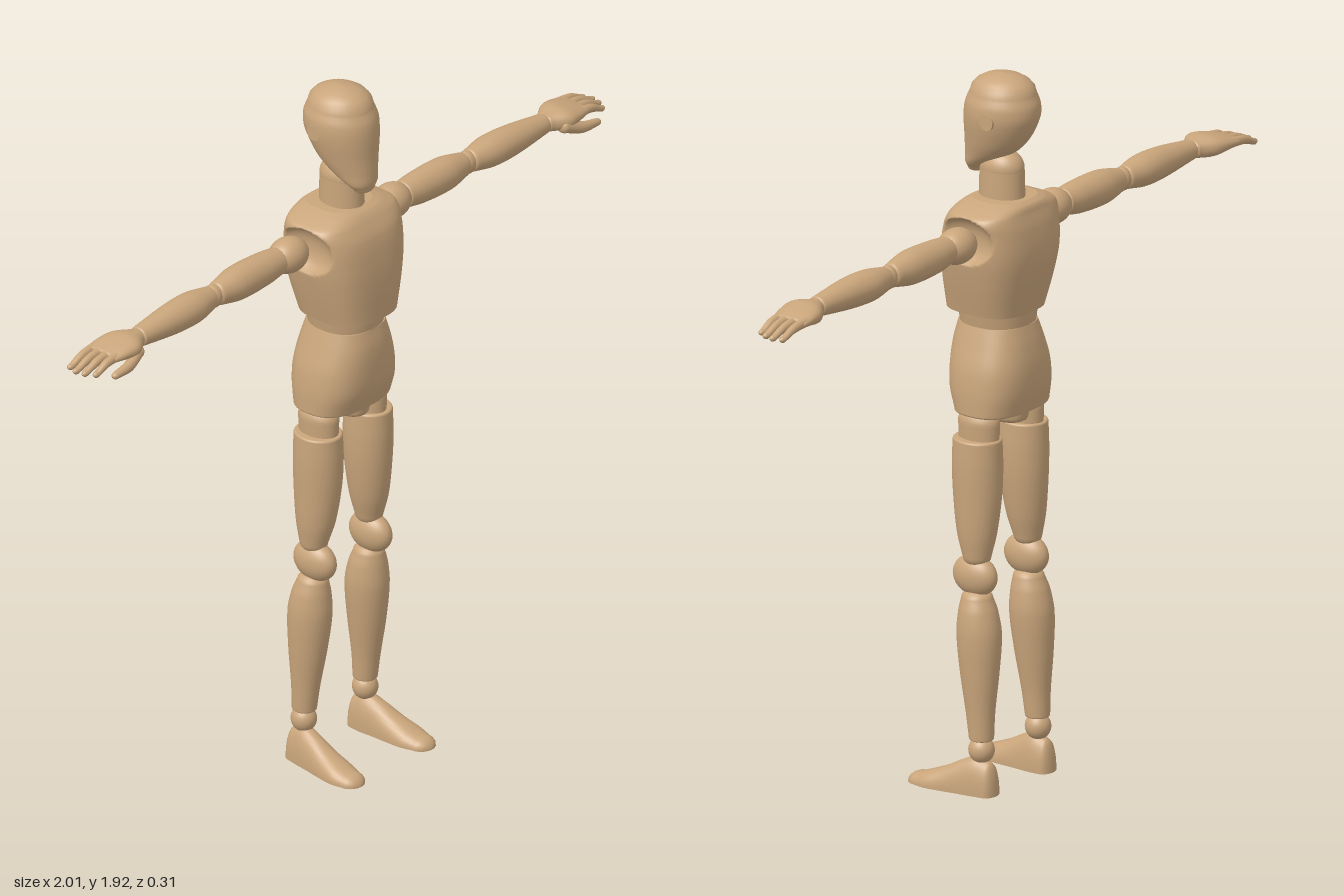
import * as THREE from 'three';

const wood = new THREE.MeshStandardMaterial({ color: 0xc9a57b });
wood.name = 'wood';

// Places (t along the axis, a and b across it) in x, y, z
const FRAMES = {
  x: (t, a, b) => [t, a, b],
  y: (t, a, b) => [a, t, b],
  z: (t, a, b) => [a, b, t],
};

// Smooth solid through sections [t, centreA, centreB, radiusA, radiusB].
// power squares the section; dome0/dome1 round the ends; warp edits points; side mirrors x.
function loft(axis, sections, { power = 2, seg = 32, steps = 6, dome0 = 0, dome1 = 0, warp, side = 1 } = {}) {
  const at = (i, k) => sections[Math.min(Math.max(i, 0), sections.length - 1)][k];
  const rings = [];
  for (let i = 0; i < sections.length - 1; i++) {
    for (let j = i ? 1 : 0; j <= steps; j++) {
      const u = j / steps;
      rings.push([0, 1, 2, 3, 4].map((k) => {
        const p1 = at(i, k), p2 = at(i + 1, k);
        const h = at(i + 1, 0) - at(i, 0);
        const slope = (n) => {
          const d = at(n + 1, 0) - at(n - 1, 0);
          return (at(n + 1, k) - at(n - 1, k)) / d * h;
        };
        const m1 = slope(i), m2 = slope(i + 1);
        return (2 * p1 - 2 * p2 + m1 + m2) * u ** 3 + (3 * p2 - 3 * p1 - 2 * m1 - m2) * u * u + m1 * u + p1;
      }));
    }
  }
  const dome = (r, depth) => [1, 2, 3, 4, 5].map((k) => {
    const q = k / 5 * Math.PI / 2, depthAbs = Math.abs(depth);
    const shrink = depthAbs < 0.012 ? depthAbs * (1 - Math.cos(q)) : 0;
    const f = shrink ? 0 : Math.max(Math.cos(q), 0.02);
    return [r[0] + depth * Math.sin(q), r[1], r[2],
      shrink ? r[3] - shrink : r[3] * f, shrink ? r[4] - shrink : r[4] * f];
  });
  const dir = Math.sign(at(99, 0) - at(0, 0));
  const first = rings[0], last = rings[rings.length - 1];
  if (dome0) rings.unshift(...dome(first, -dir * dome0).reverse());
  if (dome1) rings.push(...dome(last, dir * dome1));

  const pos = [], idx = [];
  const put = (t, a, b) => {
    let p = FRAMES[axis](t, a, b);
    if (warp) p = warp(...p);
    pos.push(p[0] * side, p[1], p[2]);
  };
  const putRing = ([t, a, b, ra, rb]) => {
    for (let s = 0; s < seg; s++) {
      const q = s / seg * Math.PI * 2, c = Math.cos(q), d = Math.sin(q);
      const r = (Math.abs(c) ** power + Math.abs(d) ** power) ** (-1 / power);
      put(t, a + ra * r * c, b + rb * r * d);
    }
  };
  rings.forEach(putRing);
  for (let i = 0; i < rings.length - 1; i++) {
    for (let s = 0; s < seg; s++) {
      const a = i * seg + s, b = i * seg + (s + 1) % seg;
      idx.push(a, a + seg, b, b, a + seg, b + seg);
    }
  }
  // Flat end caps with their own vertices, so the rims stay sharp
  [rings[0], rings[rings.length - 1]].forEach((r, end) => {
    const base = pos.length / 3;
    putRing(r);
    put(r[0], r[1], r[2]);
    for (let s = 0; s < seg; s++) {
      const a = base + s, b = base + (s + 1) % seg;
      idx.push(base + seg, ...(end ? [b, a] : [a, b]));
    }
  });
  // Turn all faces outward
  let volume = 0;
  const v = (i) => new THREE.Vector3().fromArray(pos, i * 3);
  for (let i = 0; i < idx.length; i += 3) volume += v(idx[i]).dot(v(idx[i + 1]).cross(v(idx[i + 2])));
  if (volume < 0) idx.reverse();
  const geo = new THREE.BufferGeometry();
  geo.setAttribute('position', new THREE.Float32BufferAttribute(pos, 3));
  geo.setIndex(idx);
  geo.computeVertexNormals();
  return geo;
}

const ball = (x, y, z, rx, ry, rz) =>
  new THREE.SphereGeometry(1, 32, 20).scale(rx, ry, rz).translate(x, y, z);

// Hollows an oval shoulder socket into each side of the chest
function socket(x, y, z) {
  const k = 1 - ((y - 1.498) / 0.06) ** 2 - ((z + 0.025) / 0.09) ** 2;
  if (k <= 0 || Math.abs(x) < 0.08) return [x, y, z];
  return [Math.sign(x) * Math.min(Math.abs(x), 0.15 - 0.035 * Math.sqrt(k)), y, z];
}

export function createModel() {
  const model = new THREE.Group();
  model.name = 'jointedFigure';
  const add = (name, geo, parent = model) => {
    const mesh = new THREE.Mesh(geo, wood);
    mesh.name = name;
    parent.add(mesh);
  };

  // Head, neck and trunk
  add('head', loft('y', [
    [1.652, 0, 0.045, 0.032, 0.022], [1.67, 0, 0.034, 0.048, 0.038], [1.70, 0, 0.006, 0.062, 0.066],
    [1.74, 0, -0.016, 0.076, 0.087], [1.80, 0, -0.032, 0.09, 0.103], [1.84, 0, -0.036, 0.09, 0.102],
    [1.87, 0, -0.037, 0.08, 0.09],
  ], { dome0: 0.013, dome1: 0.05 }));
  add('headPin', new THREE.CylinderGeometry(0.022, 0.022, 0.182, 24).rotateZ(Math.PI / 2).translate(0, 1.81, -0.05));
  add('neck', loft('y', [[1.57, 0, -0.033, 0.052, 0.065], [1.66, 0, -0.033, 0.049, 0.063]]));
  add('neckBall', ball(0, 1.665, -0.033, 0.049, 0.05, 0.063));
  add('chest', loft('y', [
    [1.287, 0, -0.012, 0.112, 0.113], [1.38, 0, -0.021, 0.136, 0.124], [1.45, 0, -0.027, 0.15, 0.126],
    [1.52, 0, -0.03, 0.155, 0.116], [1.56, 0, -0.035, 0.15, 0.1], [1.58, 0, -0.04, 0.11, 0.088],
    [1.59, 0, -0.042, 0.08, 0.072],
  ], { power: 3, seg: 120, steps: 10, warp: socket }));
  add('waist', loft('y', [[1.25, 0, -0.02, 0.094, 0.095], [1.32, 0, -0.02, 0.106, 0.1]], { power: 2.3 }));
  add('pelvis', loft('y', [
    [1.024, 0, -0.032, 0.137, 0.095], [1.08, 0, -0.028, 0.136, 0.11], [1.14, 0, -0.026, 0.128, 0.113],
    [1.20, 0, -0.022, 0.11, 0.107], [1.25, 0, -0.02, 0.094, 0.095],
  ], { power: 2.6, seg: 48, dome0: 0.006 }));
  add('crotch', loft('y', [[0.995, 0, -0.03, 0.04, 0.078], [1.05, 0, -0.03, 0.05, 0.09]],
    { power: 2.5, dome0: 0.02 }));

  for (const side of [1, -1]) {
    const label = side > 0 ? 'left' : 'right';
    const limb = (name) => {
      const g = new THREE.Group();
      g.name = label + name;
      model.add(g);
      return g;
    };

    // Arm
    const arm = limb('Arm');
    add('shoulderBall', ball(side * 0.198, 1.503, -0.04, 0.06, 0.048, 0.048), arm);
    add('upperArm', loft('x', [
      [0.245, 1.503, -0.04, 0.037, 0.037], [0.30, 1.501, -0.041, 0.044, 0.043],
      [0.40, 1.5, -0.041, 0.046, 0.044], [0.47, 1.499, -0.041, 0.033, 0.031],
    ], { side, dome0: 0.006, dome1: 0.015 }), arm);
    add('elbow', ball(side * 0.488, 1.498, -0.041, 0.028, 0.032, 0.027), arm);
    add('forearm', loft('x', [
      [0.505, 1.498, -0.041, 0.032, 0.031], [0.57, 1.498, -0.04, 0.042, 0.044],
      [0.65, 1.498, -0.038, 0.041, 0.042], [0.775, 1.497, -0.037, 0.027, 0.029],
    ], { side, dome0: 0.014, dome1: 0.006 }), arm);
    add('wrist', ball(side * 0.79, 1.497, -0.037, 0.026, 0.023, 0.026), arm);

    // Hand with four fingers and a thumb
    const hand = limb('Hand');
    add('palm', loft('x', [
      [0.79, 1.496, -0.038, 0.024, 0.03], [0.83, 1.497, -0.038, 0.029, 0.056],
      [0.87, 1.497, -0.043, 0.022, 0.058], [0.905, 1.494, -0.047, 0.015, 0.053],
    ], { side, power: 2.4, dome0: 0.01, dome1: 0.008 }), hand);
    [[-0.086, 0.992], [-0.06, 1], [-0.034, 0.995], [-0.009, 0.98]].forEach(([z, tip], i) => {
      const bend = (tip - 0.89) / 2;
      add('finger' + (i + 1), loft('x', [
        [0.89, 1.496, z, 0.013, 0.0125], [0.89 + bend, 1.49, z, 0.012, 0.011], [tip - 0.01, 1.474, z, 0.009, 0.009],
      ], { side, seg: 14, dome1: 0.0125 }), hand);
    });
    add('thumb', loft('x', [
      [0.82, 1.485, -0.004, 0.02, 0.022], [0.87, 1.468, 0.014, 0.016, 0.015], [0.925, 1.462, 0.017, 0.01, 0.011],
    ], { side, seg: 16, dome0: 0.014, dome1: 0.0125 }), hand);

    // Leg
    const leg = limb('Leg');
    add('hipJoint', loft('y', [[0.94, 0.092, -0.03, 0.041, 0.058], [1.0, 0.092, -0.03, 0.043, 0.06]],
      { side, dome1: 0.035 }), leg);
    add('thigh', loft('y', [
      [0.635, 0.106, -0.034, 0.036, 0.038], [0.70, 0.102, -0.031, 0.049, 0.054],
      [0.80, 0.097, -0.029, 0.058, 0.066], [0.88, 0.096, -0.028, 0.061, 0.069], [0.949, 0.096, -0.028, 0.059, 0.067],
    ], { side, dome0: 0.025, dome1: 0.006 }), leg);
    add('knee', ball(side * 0.107, 0.583, -0.029, 0.038, 0.055, 0.067), leg);
    add('shin', loft('y', [
      [0.15, 0.117, -0.057, 0.032, 0.033], [0.22, 0.116, -0.053, 0.037, 0.039], [0.33, 0.113, -0.048, 0.049, 0.053],
      [0.43, 0.11, -0.044, 0.056, 0.06], [0.49, 0.109, -0.04, 0.05, 0.052], [0.525, 0.108, -0.036, 0.04, 0.042],
    ], { side, dome0: 0.005, dome1: 0.022 }), leg);
    add('ankle', ball(side * 0.118, 0.118, -0.058, 0.033, 0.036, 0.035), leg);

    // Foot: a tapering wedge with a flat sole, toes turned slightly out
    add('foot', loft('z', [
      [-0.085, 0.119, 0, 0.032, 0.088], [-0.05, 0.121, 0, 0.037, 0.1], [-0.01, 0.125, 0, 0.039, 0.086],
      [0.04, 0.13, 0, 0.043, 0.06], [0.085, 0.134, 0, 0.045, 0.041], [0.12, 0.136, 0, 0.038, 0.028],
    ], { side, power: 2.3, dome0: 0.02, dome1: 0.036, warp: (x, y, z) => [x, Math.max(y, 0), z] }), leg);
  }
  return model;
}
